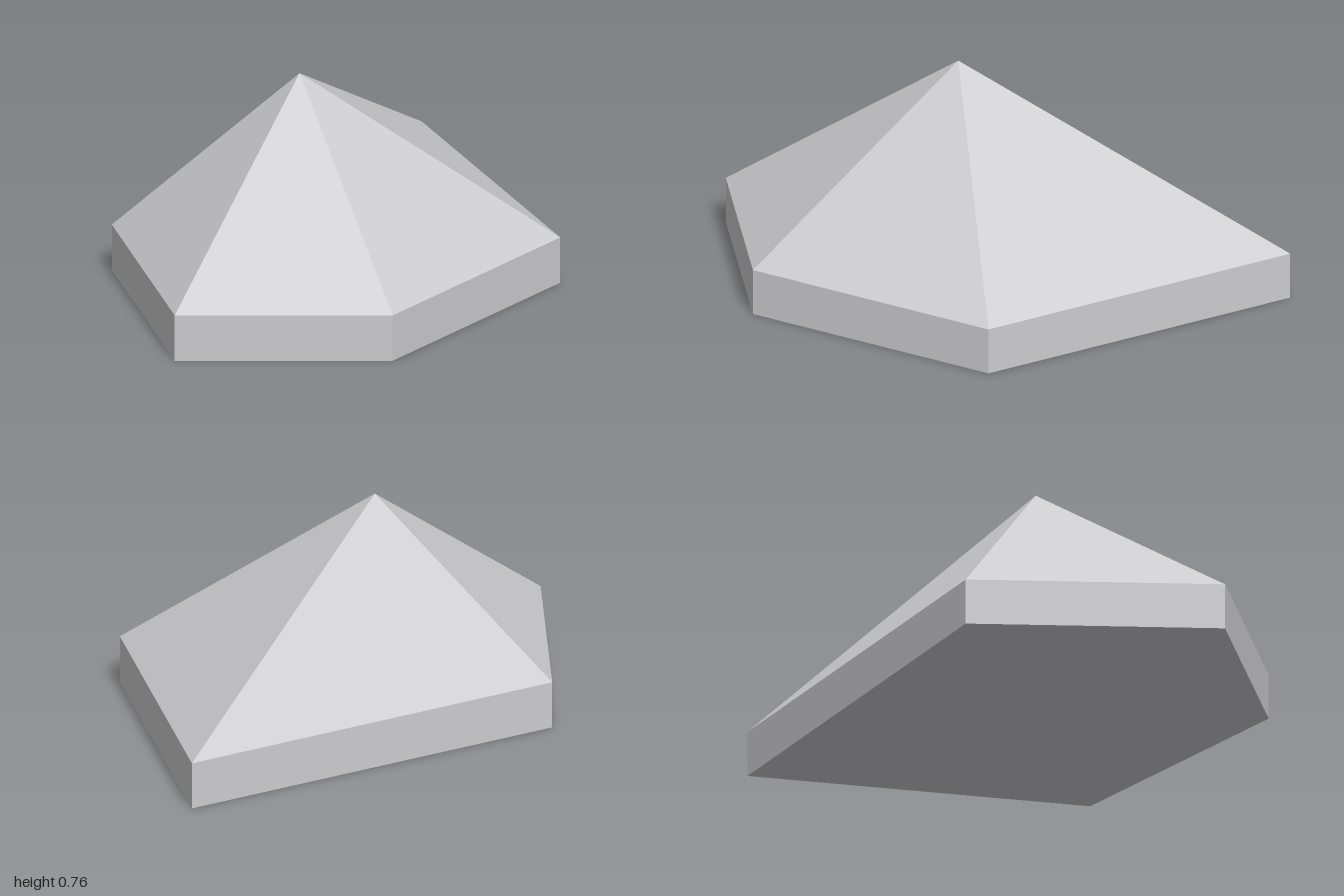
import * as THREE from 'three';

// Five-sided plan, counter-clockwise seen from above: [x, z]
const PLAN = [[-0.06, -1], [-0.74, 0.26], [-0.26, 1], [0.44, 0.76], [0.74, -0.12]];
const EAVE = 0.165;
const APEX = [-0.1, 0.76, 0.16];

function facets(name, triangles, material) {
  const geometry = new THREE.BufferGeometry();
  geometry.setAttribute('position', new THREE.Float32BufferAttribute(triangles.flat(2), 3));
  geometry.computeVertexNormals();
  const mesh = new THREE.Mesh(geometry, material);
  mesh.name = name;
  return mesh;
}

export function createModel() {
  const group = new THREE.Group();
  group.name = 'pyramidBlock';
  const grey = new THREE.MeshStandardMaterial({ color: 0xcccbce, flatShading: true });
  grey.name = 'pale grey';

  const slopes = [], walls = [], floor = [];
  PLAN.forEach(([x0, z0], i) => {
    const [x1, z1] = PLAN[(i + 1) % PLAN.length];
    const low0 = [x0, 0, z0], low1 = [x1, 0, z1];
    const top0 = [x0, EAVE, z0], top1 = [x1, EAVE, z1];
    slopes.push([APEX, top0, top1]);
    walls.push([low0, low1, top1], [low0, top1, top0]);
    floor.push([[0, 0, 0], low1, low0]);
  });

  // Off-centre pyramid on a low closed plinth
  group.add(facets('pyramid', slopes, grey));
  group.add(facets('plinthWalls', walls, grey));
  group.add(facets('underside', floor, grey));
  return group;
}
